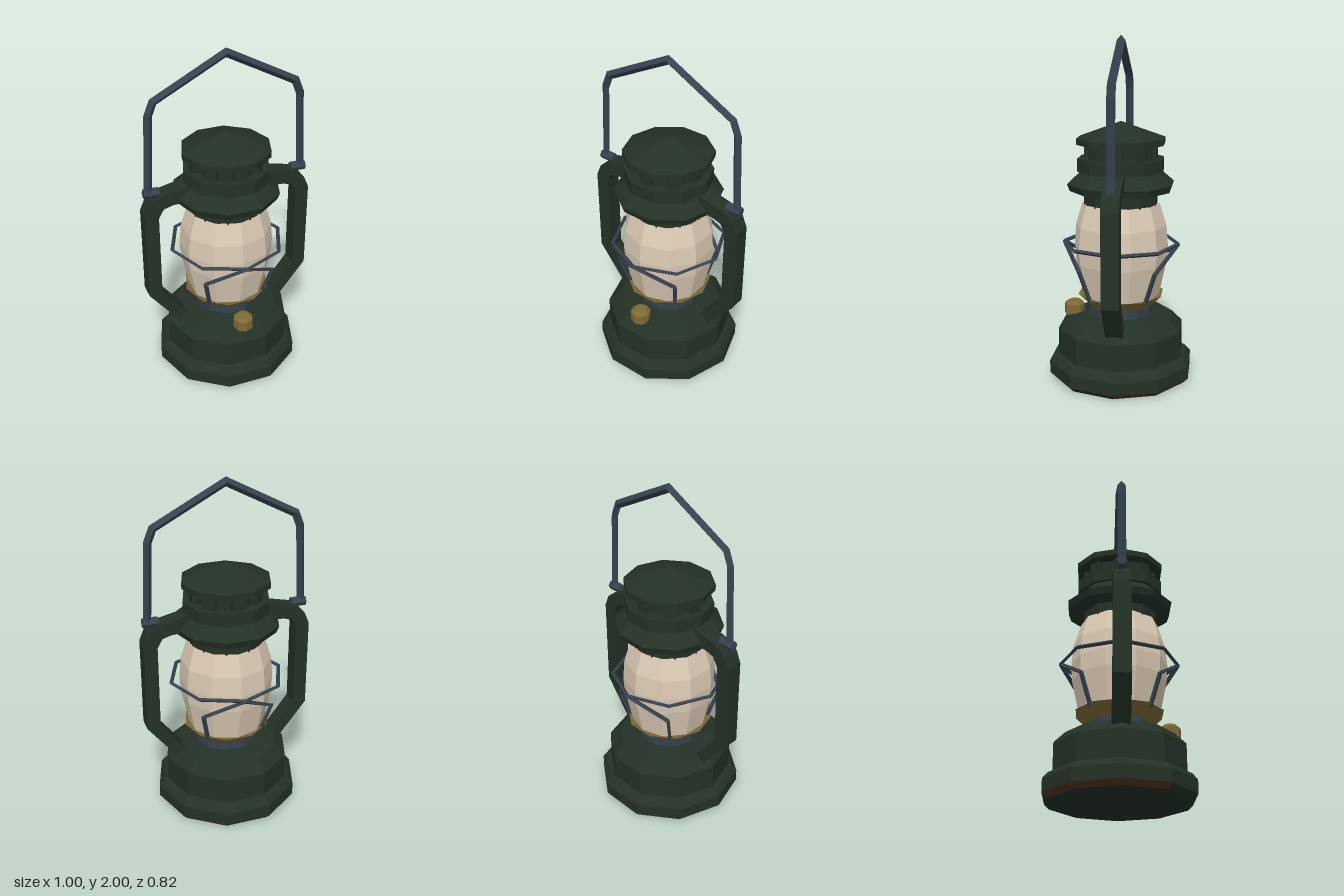
import * as THREE from 'three';

const mat = (name, color) => {
  const m = new THREE.MeshStandardMaterial({ color });
  m.name = name;
  return m;
};

// Unshared vertices give crisp facets
const facet = (geo) => {
  const g = geo.index ? geo.toNonIndexed() : geo;
  g.computeVertexNormals();
  return g;
};

// Faceted turned part; the first corner points along +x unless told otherwise
const turned = (profile, sides = 10, start = Math.PI / 2, length = Math.PI * 2) =>
  facet(new THREE.LatheGeometry(profile.map(([r, y]) => new THREE.Vector2(r, y)), sides, start, length));

// Mitred bar following a polyline, with closed ends
function bar(path, r, sides, ref = new THREE.Vector3(0, 0, 1)) {
  const pts = path.map((p) => new THREE.Vector3(...p));
  const rings = pts.map((p, i) => {
    const next = pts[Math.min(i + 1, pts.length - 1)], prev = pts[Math.max(i - 1, 0)];
    const out = next.clone().sub(p).normalize(), inn = p.clone().sub(prev).normalize();
    const t = out.clone().add(inn).normalize();
    const mitre = 1 / Math.max(0.5, t.dot(i ? inn : out));
    const b = ref.clone().addScaledVector(t, -ref.dot(t)).normalize();
    const n = t.clone().cross(b);
    return Array.from({ length: sides }, (_, j) => {
      const a = (j / sides) * Math.PI * 2;
      return p.clone().addScaledVector(b, r * Math.cos(a)).addScaledVector(n, r * Math.sin(a) * mitre);
    });
  });
  const tri = [];
  for (let j = 0; j < sides; j++) {
    const k = (j + 1) % sides;
    for (let i = 0; i < rings.length - 1; i++) {
      const [a, b, c, d] = [rings[i][j], rings[i][k], rings[i + 1][k], rings[i + 1][j]];
      tri.push(a, b, c, a, c, d);
    }
    const last = rings.length - 1;
    tri.push(pts[0], rings[0][k], rings[0][j], pts[last], rings[last][j], rings[last][k]);
  }
  return facet(new THREE.BufferGeometry().setFromPoints(tri));
}

export function createModel() {
  const green = mat('dark green enamel', 0x243126);
  const steel = mat('blue steel', 0x36424f);
  const glass = mat('frosted glass', 0xdccbb5);
  const brass = mat('aged brass', 0x7d6a35);
  const rust = mat('rust', 0x50301f);

  const model = new THREE.Group();
  model.name = 'lantern';
  const add = (name, geo, material, x = 0, y = 0, z = 0) => {
    const m = new THREE.Mesh(geo, material);
    m.name = name;
    m.position.set(x, y, z);
    model.add(m);
    return m;
  };

  // Fuel tank and its foot
  add('base', turned([[0.43, 0.03], [0.43, 0.105], [0.4, 0.14], [0.375, 0.15], [0.375, 0.305],
    [0.31, 0.37], [0.19, 0.39], [0, 0.39]]), green);
  add('baseUnderside', turned([[0, 0], [0.4, 0]]), green);

  // Bottom rim, some facets rusted
  const rusted = [1, 4, 5, 6, 8, 9];
  for (let i = 0; i < 10; i++) {
    const start = Math.PI / 2 - (i + 1) * Math.PI / 5;
    add('rimFacet', turned([[0.4, 0], [0.43, 0.03]], 1, start, Math.PI / 5), rusted.includes(i) ? rust : green);
  }

  // Burner neck, flared collar and filler knob
  add('neck', turned([[0.185, 0.37], [0.185, 0.46], [0, 0.46]]), steel);
  add('collar', turned([[0.17, 0.44], [0.185, 0.44], [0.255, 0.507], [0.2, 0.49]]), brass);
  add('fillerKnob', turned([[0, 0.335], [0.037, 0.335], [0.06, 0.365], [0.06, 0.425], [0.037, 0.445], [0, 0.447]], 8),
    brass, 0, 0, 0.28);

  // Glass globe, a corner facing front
  add('globe', turned([[0.2, 0.47], [0.225, 0.5], [0.24, 0.57], [0.268, 0.7], [0.275, 0.8],
    [0.265, 0.92], [0.225, 1.05]], 10, 0), glass);

  // Hood, vent and chimney cap
  add('hood', turned([[0, 1.04], [0.217, 1.04], [0.217, 1.11], [0.3, 1.125], [0.315, 1.165], [0.235, 1.235],
    [0.255, 1.235], [0.255, 1.31], [0, 1.31]]), green);
  add('vent', turned([[0.19, 1.3], [0.19, 1.4]]), green);
  for (let i = 0; i < 8; i++) {
    const a = (i / 8) * Math.PI * 2;
    const post = add('ventPost', new THREE.BoxGeometry(0.05, 0.1, 0.07), green,
      0.185 * Math.cos(a), 1.35, 0.185 * Math.sin(a));
    post.rotation.y = -a;
  }
  add('cap', turned([[0, 1.39], [0.26, 1.39], [0.26, 1.425], [0, 1.52]]), green);

  // Side arms, flat in section
  const armOutline = [[0.22, 0.33], [0.325, 0.33], [0.5, 0.555], [0.5, 1.09], [0.47, 1.16], [0.415, 1.205],
    [0.24, 1.245], [0.22, 1.15], [0.34, 1.14], [0.39, 1.125], [0.42, 1.07], [0.42, 0.565], [0.27, 0.37]];
  for (const s of [1, -1]) {
    const shape = new THREE.Shape(armOutline.map(([x, y]) => new THREE.Vector2(s * x, y)));
    const geo = new THREE.ExtrudeGeometry(shape, { depth: 0.1, bevelEnabled: false });
    add(s > 0 ? 'leftArm' : 'rightArm', geo, green, 0, 0, -0.05);

    // Handle pivot
    const pin = add('handlePivot', facet(new THREE.CylinderGeometry(0.028, 0.028, 0.09, 6)), steel, s * 0.445, 1.215, 0);
    pin.rotation.z = Math.PI / 2;
  }

  // Carrying handle
  add('handle', bar([[-0.463, 1.2], [-0.441, 1.68], [-0.41, 1.757], [0, 1.973],
    [0.41, 1.757], [0.441, 1.68], [0.463, 1.2]], 0.024, 4), steel);

  // Globe guard: octagonal ring and bent wires
  const ring = add('guardRing', facet(new THREE.TorusGeometry(0.335, 0.012, 4, 8)), steel, 0, 0.808, 0);
  ring.rotation.x = Math.PI / 2;
  for (const sx of [1, -1]) {
    for (const sz of [1, -1]) {
      add('guardWire', bar([[0, 0.805, sz * 0.335], [sx * 0.208, 0.675, sz * 0.215],
        [sx * 0.167, 0.49, sz * 0.16]], 0.013, 4), steel);
    }
  }
  return model;
}
